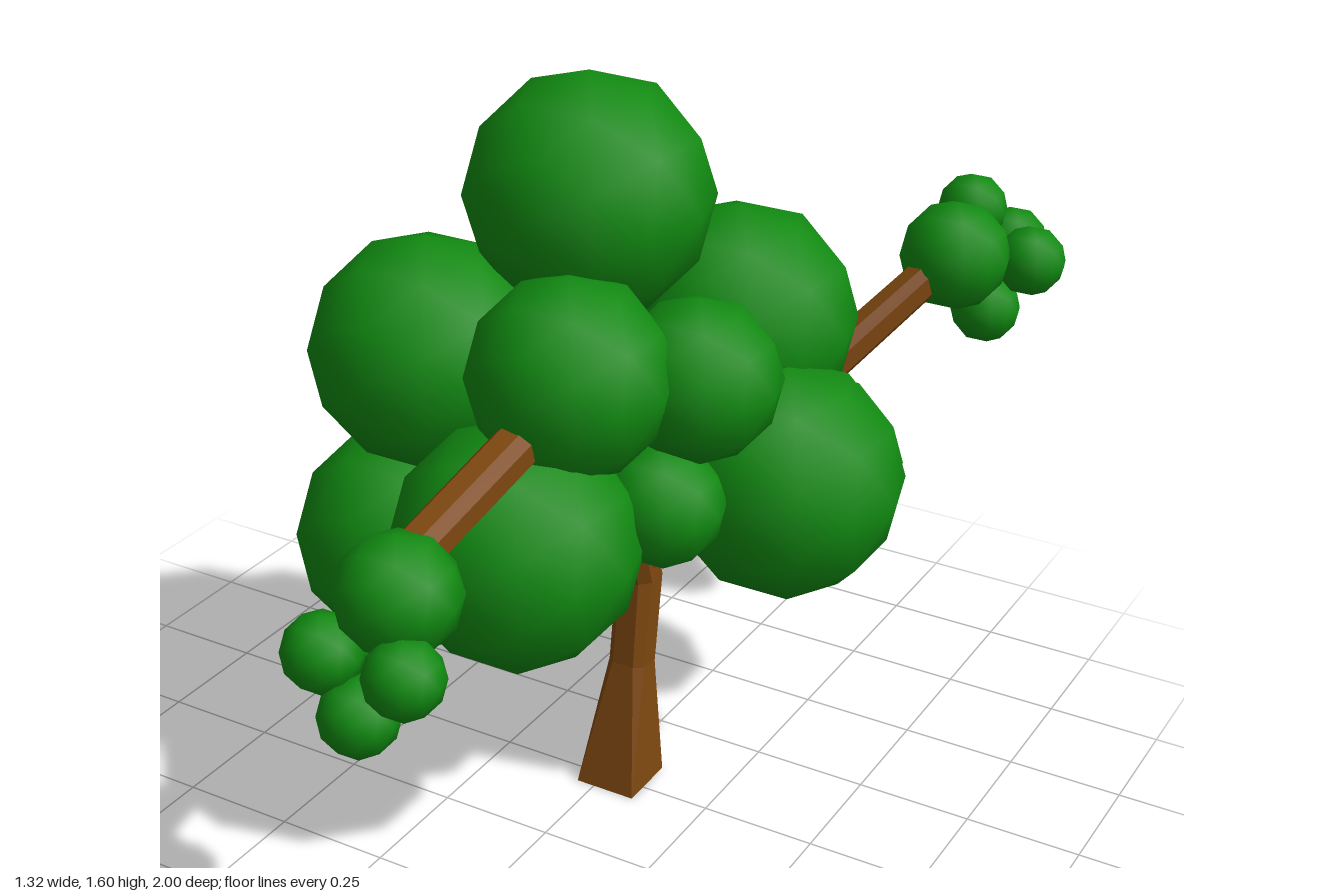
import * as THREE from 'three';

const leafMat = new THREE.MeshStandardMaterial({ color: 0x118a11 });
const barkMat = new THREE.MeshStandardMaterial({ color: 0x7d4710, flatShading: true });

// Ball-shaped clumps: [x, y, z, radius]
const crown = [
  [-0.03, 1.35, 0.01, 0.245],
  [-0.27, 1.05, 0.23, 0.235],
  [0.08, 1.085, 0.265, 0.2],
  [0.16, 1.03, -0.27, 0.242],
  [0.255, 1.05, 0.08, 0.163],
  [-0.18, 1.08, -0.2, 0.12],
  [-0.335, 0.61, 0.21, 0.242],
  [0.02, 0.76, 0.37, 0.246],
  [0.345, 0.77, -0.125, 0.243],
  [-0.13, 0.68, -0.49, 0.242],
  [0.265, 0.655, -0.415, 0.2],
  [-0.255, 0.81, -0.2, 0.185],
  [0.225, 0.81, 0.165, 0.125],
];
const frontTuft = [
  [0.065, 0.885, 0.82, 0.116],
  [-0.037, 0.785, 0.912, 0.075],
  [0.137, 0.785, 0.912, 0.075],
  [0.045, 0.685, 0.924, 0.075],
  [0, 0.72, 0.775, 0.075],
];
const backTuft = [
  [0.45, 1.075, -0.71, 0.117],
  [0.425, 1.13, -0.857, 0.075],
  [0.497, 1.045, -0.925, 0.075],
  [0.58, 1.05, -0.82, 0.075],
  [0.49, 0.925, -0.81, 0.075],
];
const rightTuft = [
  [-0.57, 0.44, -0.425, 0.083],
  [-0.605, 0.333, -0.375, 0.054],
  [-0.467, 0.342, -0.425, 0.054],
  [-0.53, 0.27, -0.4, 0.054],
  [-0.525, 0.33, -0.495, 0.054],
];

function clumps(name, list) {
  const group = new THREE.Group();
  group.name = name;
  for (const [x, y, z, r] of list) {
    const ball = new THREE.Mesh(new THREE.IcosahedronGeometry(r * 1.02, 1), leafMat);
    ball.name = 'leafClump';
    ball.position.set(x, y, z);
    group.add(ball);
  }
  return group;
}

// Limb swept through sections [x, y, z, halfWidth, chamfer]; chamfer 0 is square, 0.5 is octagonal
function limb(name, sections, ref) {
  const pts = sections.map(s => new THREE.Vector3(s[0], s[1], s[2]));
  const n = pts.length;
  const pos = [];
  const idx = [];
  sections.forEach(([, , , w, c], i) => {
    const t = pts[Math.min(i + 1, n - 1)].clone().sub(pts[Math.max(i - 1, 0)]).normalize();
    if (name === 'trunk' && i === 0) t.set(0, 1, 0);
    const side = t.clone().cross(ref).normalize();
    const up = t.clone().cross(side);
    for (let k = 0; k < 4; k++) {
      const q = k * Math.PI / 2;
      for (const [a, b] of [[1, 1 - c], [1 - c, 1]]) {
        const u = (a * Math.cos(q) - b * Math.sin(q)) * w;
        const v = (a * Math.sin(q) + b * Math.cos(q)) * w;
        pos.push(...pts[i].clone().addScaledVector(side, u).addScaledVector(up, v).toArray());
      }
    }
  });
  for (let i = 0; i < n - 1; i++) {
    for (let k = 0; k < 8; k++) {
      const a = i * 8 + k, b = i * 8 + (k + 1) % 8;
      idx.push(a, b, b + 8, a, b + 8, a + 8);
    }
  }
  // End caps
  const e = (n - 1) * 8;
  for (let k = 1; k < 7; k++) idx.push(0, k + 1, k, e, e + k, e + k + 1);
  const geo = new THREE.BufferGeometry();
  geo.setAttribute('position', new THREE.Float32BufferAttribute(pos, 3));
  geo.setIndex(idx);
  geo.computeVertexNormals();
  const mesh = new THREE.Mesh(geo, barkMat);
  mesh.name = name;
  return mesh;
}

export function createModel() {
  const tree = new THREE.Group();
  tree.name = 'tree';
  const Y = new THREE.Vector3(0, 1, 0);
  const Z = new THREE.Vector3(0, 0, 1);

  // Bent trunk with a square foot
  tree.add(limb('trunk', [
    [0.027, 0, -0.018, 0.068, 0],
    [0.027, 0.27, -0.068, 0.042, 0.4],
    [0.027, 0.47, -0.097, 0.044, 0.5],
    [0.025, 0.62, -0.05, 0.044, 0.5],
    [0.02, 1.1, 0, 0.035, 0.5],
  ], Z));

  // Branches reaching out of the crown
  tree.add(limb('frontBranch', [
    [0.03, 0.9, 0, 0.042, 0.5],
    [0.065, 1.02, 0.38, 0.042, 0.5],
    [0.065, 0.94, 0.78, 0.04, 0.5],
  ], Y));
  tree.add(limb('backBranch', [
    [0.03, 0.52, -0.09, 0.042, 0.5],
    [0.25, 0.84, -0.4, 0.04, 0.5],
    [0.43, 1.06, -0.65, 0.036, 0.5],
  ], Y));
  tree.add(limb('rightBranch', [
    [0.02, 0.6, -0.08, 0.035, 0.5],
    [-0.35, 0.73, -0.31, 0.03, 0.5],
    [-0.48, 0.64, -0.37, 0.028, 0.5],
    [-0.58, 0.47, -0.43, 0.025, 0.5],
  ], Y));

  // Foliage
  tree.add(clumps('crown', crown));
  tree.add(clumps('frontTuft', frontTuft));
  tree.add(clumps('backTuft', backTuft));
  tree.add(clumps('rightTuft', rightTuft));
  return tree;
}
